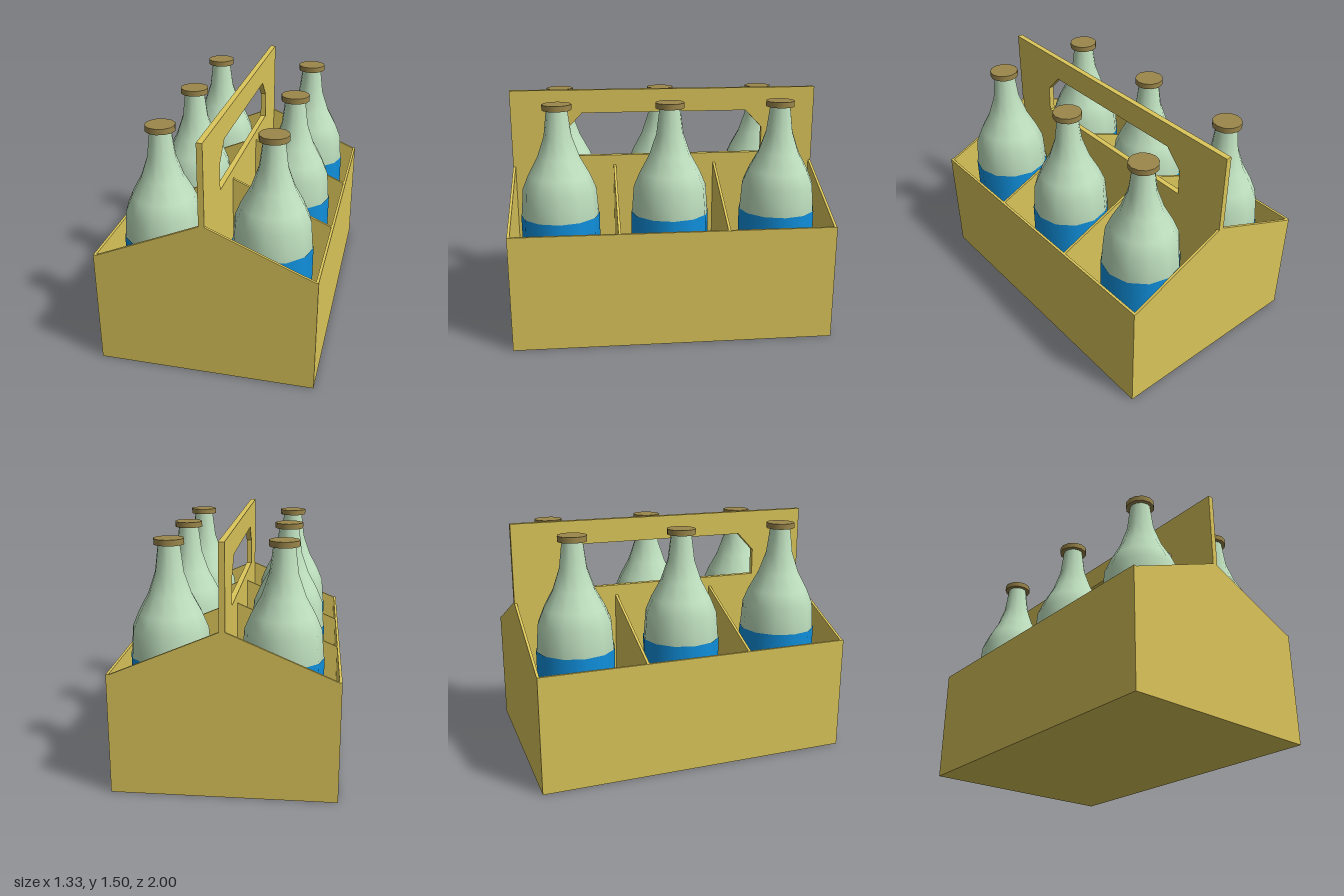
import * as THREE from 'three';

const CARD = new THREE.MeshStandardMaterial({ color: 0xdcc65a });
const GLASS = new THREE.MeshStandardMaterial({ color: 0xbfe0bf, side: THREE.DoubleSide });
const LABEL = new THREE.MeshStandardMaterial({ color: 0x1090dd, side: THREE.DoubleSide });
const CAP = new THREE.MeshStandardMaterial({ color: 0x9c874b });

const W = 0.665, WALL_H = 0.733, T = 0.016, SIDES = 12;

function add(parent, name, geometry, material, x = 0, y = 0, z = 0) {
  const mesh = new THREE.Mesh(geometry, material);
  mesh.name = name;
  mesh.position.set(x, y, z);
  parent.add(mesh);
  return mesh;
}

const toPoints = (list) => list.map(([x, y]) => new THREE.Vector2(x, y));

// Flat card cut from an outline, centred on its thickness
function card(outline, thickness, hole) {
  const shape = new THREE.Shape(toPoints(outline));
  if (hole) shape.holes.push(new THREE.Path(toPoints(hole)));
  const g = new THREE.ExtrudeGeometry(shape, { depth: thickness, bevelEnabled: false });
  return g.translate(0, 0, -thickness / 2);
}

// Gabled outline shared by end walls and dividers
const gable = (w) => [
  [-w, 0], [w, 0], [w, WALL_H], [W - 0.02, WALL_H], [0.017, 1],
  [-0.017, 1], [-W + 0.02, WALL_H], [-w, WALL_H],
];

function makeCarrier() {
  const carrier = new THREE.Group();
  carrier.name = 'carrier';
  add(carrier, 'floor', new THREE.BoxGeometry(2 * W, T, 2), CARD, 0, T / 2, 0);
  for (const s of [-1, 1]) {
    add(carrier, s > 0 ? 'leftWall' : 'rightWall',
      new THREE.BoxGeometry(T, WALL_H, 2 - 2 * T), CARD, s * (W - T / 2), WALL_H / 2, 0);
    add(carrier, s > 0 ? 'frontWall' : 'backWall', card(gable(W), T), CARD, 0, 0, s * (1 - T / 2));
    add(carrier, 'divider', card(gable(W - T), T), CARD, 0, 0, s * 0.333);
  }
  // Central panel with the chamfered hand hole
  const handle = add(carrier, 'handlePanel', card(
    [[-1, 0], [1, 0], [1, 1.5], [-1, 1.5]], 0.035,
    [[-0.65, 1.065], [-0.65, 1.235], [-0.54, 1.35], [0.54, 1.35], [0.65, 1.235], [0.65, 1.065]],
  ), CARD);
  handle.rotation.y = Math.PI / 2;
  return carrier;
}

// Faceted bottle: glass body, label band and cap
const bodyGeometry = new THREE.LatheGeometry(toPoints([
  [0, 0.02], [0.22, 0.02], [0.241, 0.05], [0.241, 0.775], [0.228, 0.94],
  [0.19, 1.03], [0.13, 1.14], [0.085, 1.27], [0.064, 1.435],
]), SIDES);
const labelGeometry = new THREE.CylinderGeometry(0.245, 0.245, 0.525, SIDES, 1, true);
const capGeometry = new THREE.CylinderGeometry(0.09, 0.09, 0.035, SIDES);

function makeBottle(x, z) {
  const bottle = new THREE.Group();
  bottle.name = 'bottle';
  bottle.position.set(x, 0, z);
  add(bottle, 'bottleBody', bodyGeometry, GLASS);
  add(bottle, 'label', labelGeometry, LABEL, 0, 0.5125, 0);
  add(bottle, 'cap', capGeometry, CAP, 0, 1.448, 0);
  return bottle;
}

export function createModel() {
  const model = new THREE.Group();
  model.name = 'bottleCarrier';
  model.add(makeCarrier());
  for (const x of [-0.322, 0.343])
    for (const z of [-0.69, 0, 0.69]) model.add(makeBottle(x, z));
  return model;
}
